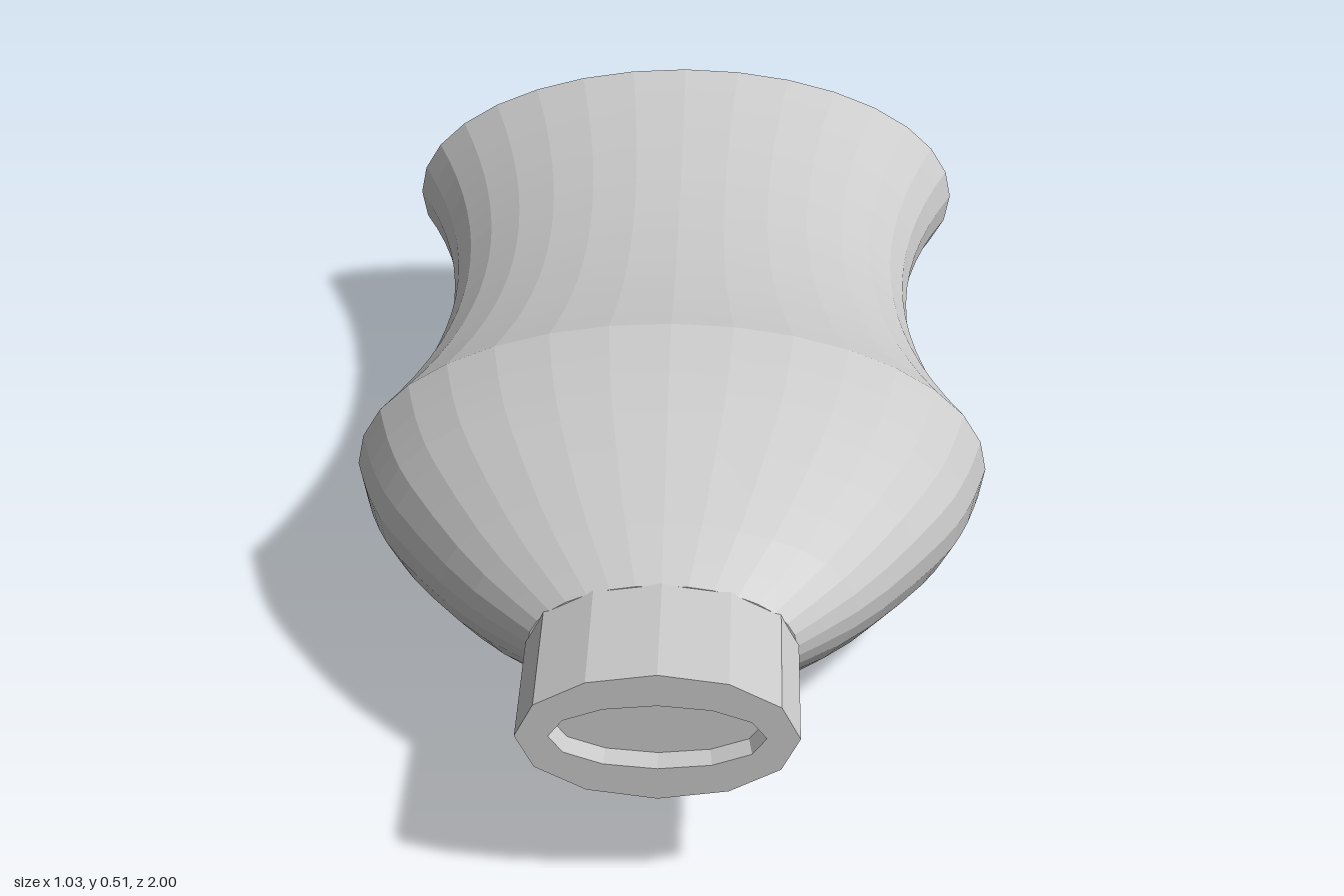
import * as THREE from 'three';

const CENTRE_Y = 0.26;

// Lofts elliptical rings [rx, ry, z], ordered from back to front along z
function loft(name, rings, sides) {
  const geo = new THREE.LatheGeometry(rings.map(([, , z]) => new THREE.Vector2(1, z)), sides);
  const pos = geo.attributes.position;
  for (let i = 0; i < pos.count; i++) {
    const [rx, ry, z] = rings[i % rings.length];
    pos.setXYZ(i, pos.getX(i) * rx, CENTRE_Y - pos.getZ(i) * ry, z);
  }
  geo.computeVertexNormals();
  const mesh = new THREE.Mesh(geo, new THREE.MeshStandardMaterial({ color: 0xcccccc, flatShading: true }));
  mesh.name = name;
  return mesh;
}

export function createModel() {
  const group = new THREE.Group();
  group.name = 'flatBottle';

  // Waisted body with a flat base at the back
  const body = [[0, 0, -1]];
  for (let i = 0; i <= 16; i++) {
    const t = i / 8 - 1;
    const r = 0.407 + 0.106 * t * t;
    body.push([r, r / 2, -0.42 + 0.58 * t]);
  }
  group.add(loft('body', body, 32));

  // Rounded shoulder narrowing to the neck
  const curve = new THREE.SplineCurve([
    [0.513, 0.16], [0.483, 0.28], [0.435, 0.4], [0.318, 0.6], [0.2, 0.74],
  ].map(([r, z]) => new THREE.Vector2(r, z)));
  const shoulder = curve.getPoints(10).map((p) => [p.x, p.x / 2, p.y]);
  shoulder.push([0, 0, 0.74]);
  group.add(loft('shoulder', shoulder, 32));

  // Twelve-sided neck with an even rim around a shallow mouth
  group.add(loft('neck', [
    [0.203, 0.102, 0.72],
    [0.203, 0.102, 1],
    [0.155, 0.052, 1],
    [0.15, 0.05, 0.96],
    [0, 0, 0.96],
  ], 12));

  return group;
}
